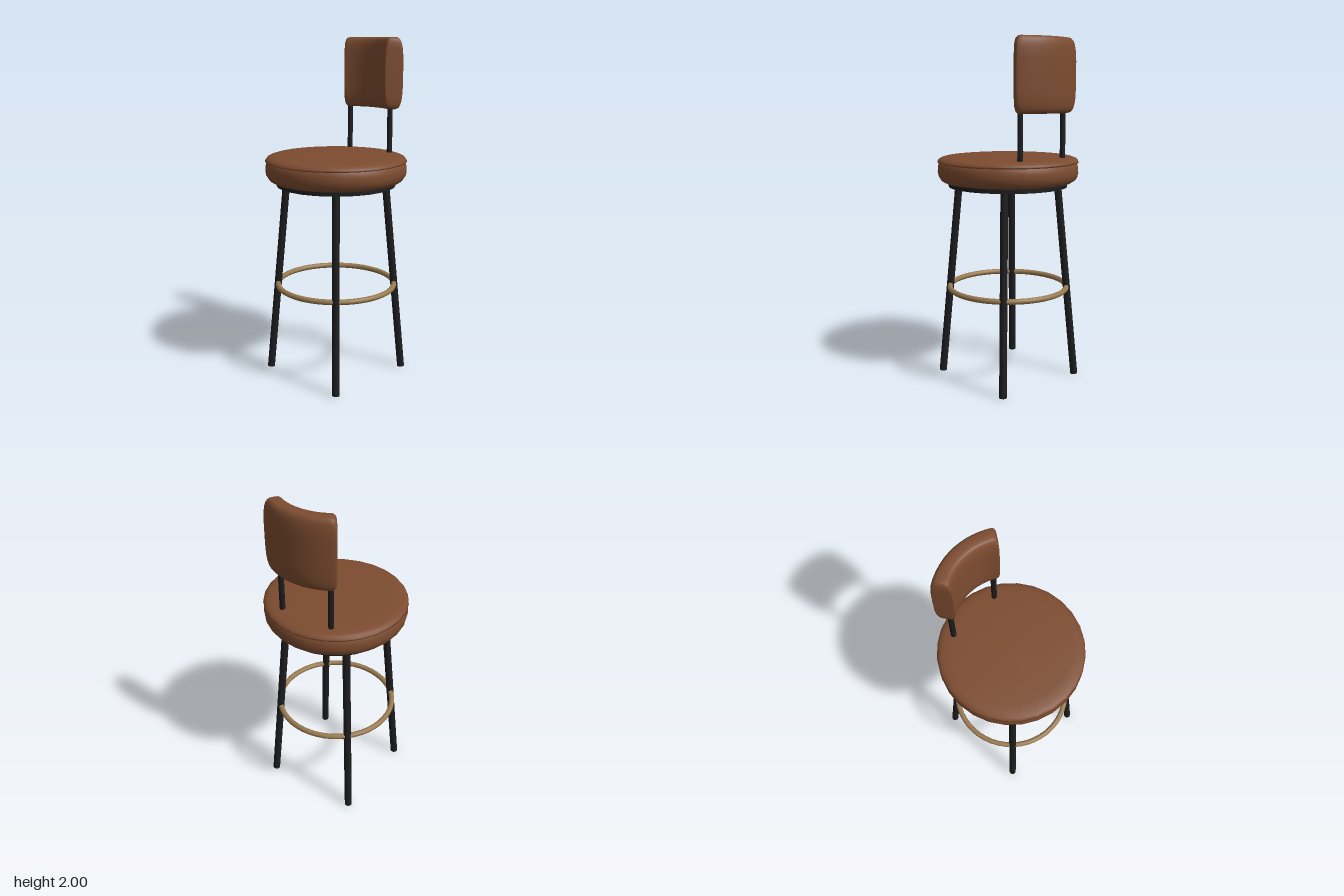
import * as THREE from 'three';

const mat = (color) => new THREE.MeshStandardMaterial({ color });
const leather = mat(0x7d4c30);
const metal = mat(0x1d1d1f);
const brass = mat(0x9a7b50);

function add(group, name, geometry, material) {
  const mesh = new THREE.Mesh(geometry, material);
  mesh.name = name;
  group.add(mesh);
  return mesh;
}

const lathe = (points, sides) =>
  new THREE.LatheGeometry(points.map(([x, y]) => new THREE.Vector2(x, y)), sides);

// Round bar between two points
function addBar(group, name, from, to, radius, material) {
  const dir = new THREE.Vector3().subVectors(to, from);
  const bar = add(group, name, new THREE.CylinderGeometry(radius, radius, dir.length(), 12), material);
  bar.position.addVectors(from, to).multiplyScalar(0.5);
  bar.quaternion.setFromUnitVectors(new THREE.Vector3(0, 1, 0), dir.normalize());
}

// Padded backrest: a soft rectangular section swept along an arc around the seat axis
function backrestGeometry() {
  const radius = 0.341, halfDepth = 0.056, halfHeight = 0.2075, midY = 1.7925;
  const halfAngle = 0.612, around = 40;
  const positions = [], index = [];
  // Stations: [fraction of the half angle, depth scale, height scale]
  const half = [[0.15, 1, 1], [0.3, 1, 1], [0.45, 1, 1], [0.6, 1, 1], [0.75, 1, 1], [0.86, 1, 1],
    [0.92, 1, 0.985], [0.965, 0.99, 0.94], [0.99, 0.97, 0.85], [1, 0.9, 0.7], [1, 0, 0]];
  const stations = [...half.map(([u, d, h]) => [-u, d, h]).reverse(), [0, 1, 1], ...half];
  const soft = (v) => Math.sign(v) * Math.abs(v) ** 0.5;
  for (const [u, d, h] of stations) {
    const angle = u * halfAngle;
    for (let j = 0; j < around; j++) {
      const t = (j / around) * Math.PI * 2;
      const r = radius + halfDepth * d * soft(Math.cos(t));
      positions.push(r * Math.sin(angle), midY + halfHeight * h * soft(Math.sin(t)), -r * Math.cos(angle));
    }
  }
  for (let i = 0; i < stations.length - 1; i++) {
    for (let j = 0; j < around; j++) {
      const a = i * around + j, b = i * around + (j + 1) % around;
      index.push(a, b, a + around, b, b + around, a + around);
    }
  }
  const geometry = new THREE.BufferGeometry();
  geometry.setAttribute('position', new THREE.Float32BufferAttribute(positions, 3));
  geometry.setIndex(index);
  geometry.computeVertexNormals();
  return geometry;
}

export function createModel() {
  const stool = new THREE.Group();
  stool.name = 'barStool';

  // Seat: rounded cushion below the seam, domed pad above it
  add(stool, 'seatCushion', lathe([[0, 1.178], [0.35, 1.178], [0.375, 1.182], [0.395, 1.195],
    [0.408, 1.215], [0.413, 1.24], [0.412, 1.265], [0.408, 1.285], [0.4, 1.296]], 28), leather);
  add(stool, 'seatPad', lathe([[0.4, 1.294], [0.414, 1.298], [0.412, 1.306], [0.402, 1.318],
    [0.38, 1.326], [0.33, 1.331], [0.2, 1.335], [0, 1.338]], 28), leather);

  // Mounting plate under the seat
  add(stool, 'seatPlate', new THREE.CylinderGeometry(0.35, 0.35, 0.028, 28), metal).position.y = 1.168;

  // Four splayed legs
  for (const sx of [-1, 1]) {
    for (const sz of [-1, 1]) {
      addBar(stool, 'leg', new THREE.Vector3(sx * 0.285, 0.003, sz * 0.285),
        new THREE.Vector3(sx * 0.206, 1.165, sz * 0.206), 0.022, metal);
    }
  }

  // Foot ring
  const ring = add(stool, 'footRing', new THREE.TorusGeometry(0.35, 0.016, 10, 48), brass);
  ring.rotation.x = Math.PI / 2;
  ring.position.y = 0.547;

  // Backrest and its two posts
  for (const sx of [-1, 1]) {
    addBar(stool, 'backPost', new THREE.Vector3(sx * 0.162, 1.3, -0.287),
      new THREE.Vector3(sx * 0.162, 1.72, -0.287), 0.016, metal);
  }
  add(stool, 'backrest', backrestGeometry(), leather);

  return stool;
}
